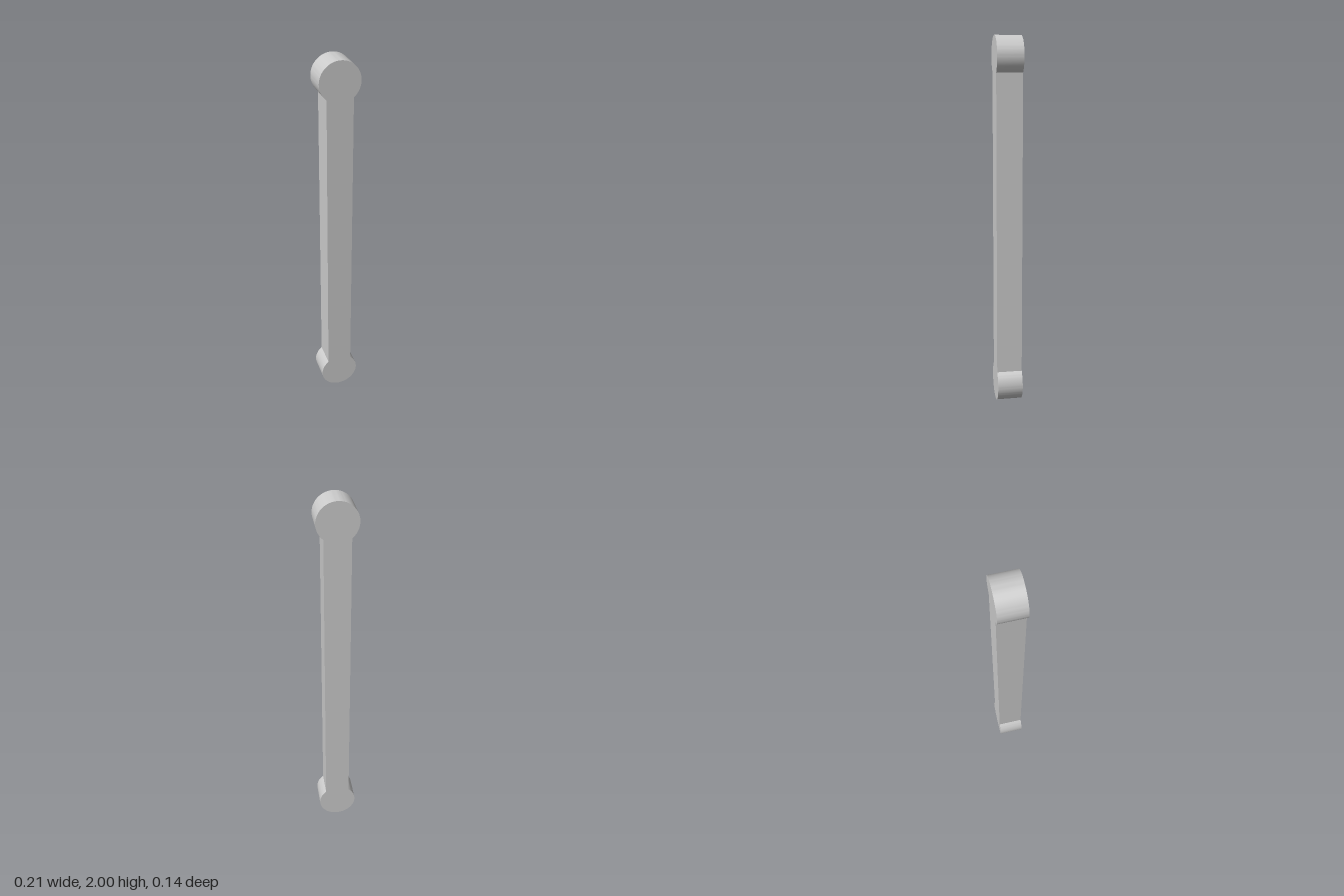
import * as THREE from 'three';
import { toCreasedNormals } from 'three/addons/utils/BufferGeometryUtils.js';

const HEIGHT = 2;
const END_RADIUS = 0.105;
const HALF_WIDTH = 0.068;
const DEPTH = 0.138;

export function createModel() {
  const group = new THREE.Group();
  group.name = 'linkBar';

  // Outline: straight shank joined to a round lobe at each end
  const a = Math.acos(HALF_WIDTH / END_RADIUS);
  const outline = new THREE.Shape();
  outline.absarc(0, HEIGHT - END_RADIUS, END_RADIUS, -a, Math.PI + a, false);
  outline.absarc(0, END_RADIUS, END_RADIUS, Math.PI - a, 2 * Math.PI + a, false);

  // Extrude to thickness, smooth round the lobes and sharp at the corners
  const geometry = new THREE.ExtrudeGeometry(outline, {
    depth: DEPTH, bevelEnabled: false, curveSegments: 32,
  });
  geometry.translate(0, 0, -DEPTH / 2);

  const bar = new THREE.Mesh(
    toCreasedNormals(geometry, 0.5),
    new THREE.MeshStandardMaterial({ color: 0xcccccc }),
  );
  bar.name = 'roundEndedBar';
  group.add(bar);
  return group;
}
